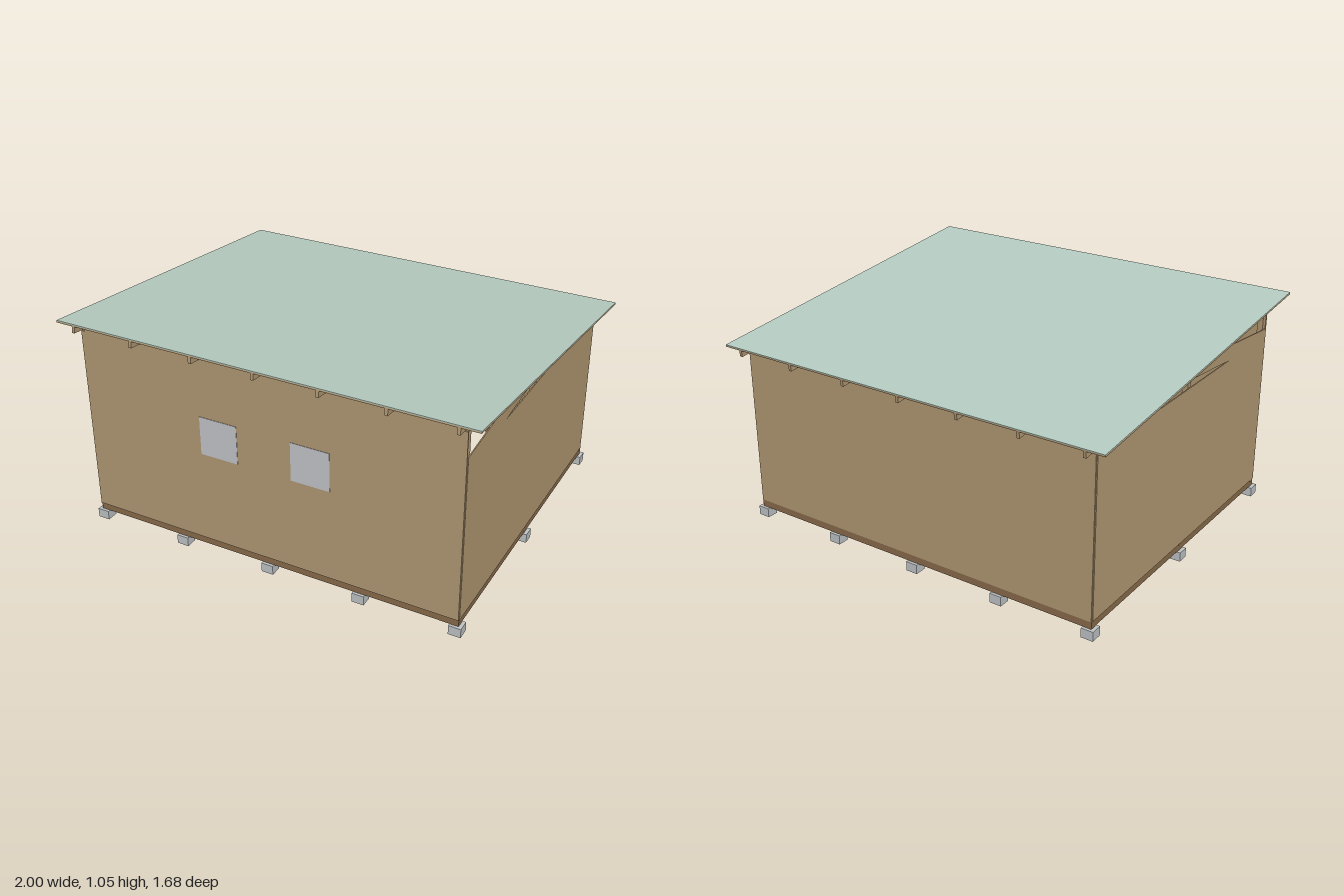
import * as THREE from 'three';

const SLOPE = 0.1;
const TILT = -Math.atan(SLOPE);

export function createModel() {
  const model = new THREE.Group();
  model.name = 'shed';

  const mat = (name, color) => {
    const m = new THREE.MeshStandardMaterial({ color });
    m.name = name;
    return m;
  };
  const timber = mat('timber', 0xb49a74);
  const sillWood = mat('sill wood', 0x8a6c4b);
  const concrete = mat('concrete', 0xc2c6c8);
  const glass = mat('window grey', 0xc5c8cb);
  const roofing = mat('pale green roofing', 0xb7cdc2);

  // Box given by its centre in x and z and its bottom and top in y
  const box = (name, material, w, d, y0, y1, x, z) => {
    const mesh = new THREE.Mesh(new THREE.BoxGeometry(w, y1 - y0, d), material);
    mesh.position.set(x, (y0 + y1) / 2, z);
    mesh.name = name;
    model.add(mesh);
    return mesh;
  };

  // Foundation blocks and the sills resting on them
  for (const z of [-0.757, 0, 0.757]) {
    for (let i = -2; i <= 2; i++) box('foundationBlock', concrete, 0.058, 0.055, 0, 0.045, i * 0.455, z);
    box('longSill', sillWood, 1.845, 0.028, 0.045, 0.08, 0, z);
  }
  for (const s of [-1, 1]) box('sideSill', sillWood, 0.028, 1.486, 0.046, 0.08, s * 0.908, 0);

  // Posts at the corners and in the middle of the sides
  for (const s of [-1, 1]) {
    box('frontPost', timber, 0.028, 0.03, 0.08, 0.987, s * 0.905, 0.757);
    box('middlePost', timber, 0.028, 0.028, 0.08, 0.928, s * 0.905, 0);
    box('backPost', timber, 0.028, 0.03, 0.08, 0.84, s * 0.905, -0.754);
  }
  box('frontPlate', timber, 1.84, 0.024, 0.987, 1.002, 0, 0.757);
  box('backPlate', timber, 1.84, 0.026, 0.84, 0.852, 0, -0.754);

  // Front and back wall panels, with narrower strips between the rafters
  box('frontWall', timber, 1.844, 0.005, 0.08, 0.99, 0, 0.7745);
  box('frontWallTop', timber, 1.81, 0.005, 0.99, 1.03, 0, 0.7745);
  box('backWall', timber, 1.844, 0.005, 0.08, 0.84, 0, -0.7705);
  box('backWallTop', timber, 1.81, 0.005, 0.84, 0.874, 0, -0.7705);

  // Side walls: outline as (z, y) with the open wedge under the slanted band
  const outline = [
    [-0.765, 0.08], [0.77, 0.08], [0.77, 0.873], [0, 0.95],
    [0, 0.875], [0.38, 0.84], [-0.765, 0.84],
  ];
  const sideShape = new THREE.Shape(outline.map(([z, y]) => new THREE.Vector2(-z, y)));
  const sideGeo = new THREE.ExtrudeGeometry(sideShape, { depth: 0.005, bevelEnabled: false });
  sideGeo.rotateY(Math.PI / 2);
  for (const x of [-0.925, 0.92]) {
    const wall = new THREE.Mesh(sideGeo, timber);
    wall.name = 'sideWall';
    wall.position.x = x;
    model.add(wall);
  }

  // Windows, visible on both faces of the front wall
  for (const s of [-1, 1]) box('window', glass, 0.187, 0.009, 0.53, 0.718, s * 0.226, 0.7745);

  // Sloped roof: rafters, deck and roofing sheet
  const roof = new THREE.Group();
  roof.name = 'roof';
  roof.position.y = 0.964;
  roof.rotation.x = TILT;
  model.add(roof);
  const layer = (name, material, w, y0, y1, x) => {
    const mesh = new THREE.Mesh(new THREE.BoxGeometry(w, y1 - y0, 1.688), material);
    mesh.position.set(x, (y0 + y1) / 2, 0);
    mesh.name = name;
    roof.add(mesh);
  };
  for (let i = -3; i <= 3; i++) layer('rafter', timber, 0.014, -0.039, -0.009, i * 0.303);
  layer('roofDeck', timber, 2, -0.009, -0.003, 0);
  layer('roofSheet', roofing, 2, -0.003, 0.001, 0);

  return model;
}
